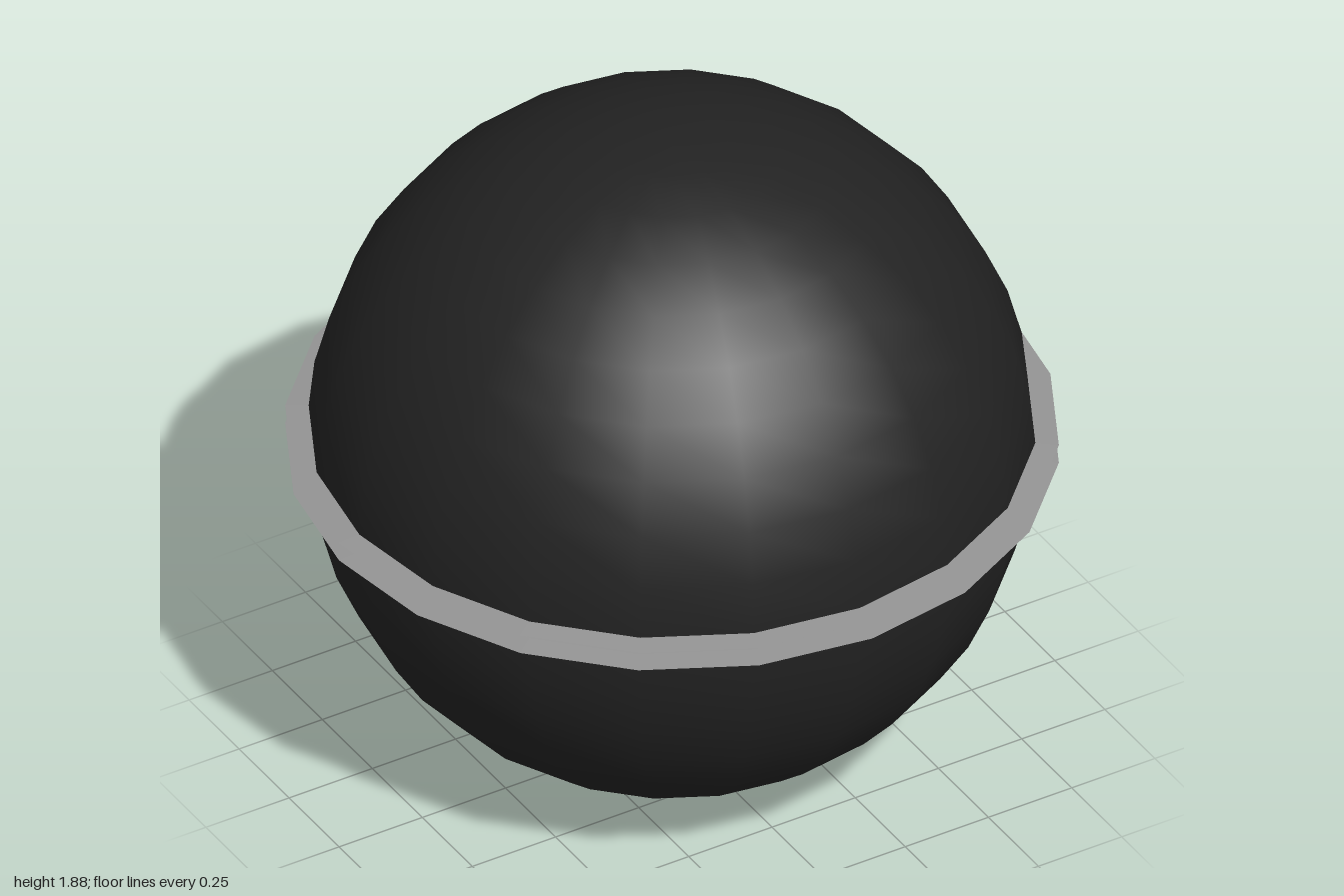
import * as THREE from 'three';

const SIDES = 20, RADIUS = 0.94, CENTRE = 0.942, HALF_GAP = 0.028;

export function createModel() {
  const model = new THREE.Group();
  const shellBlack = new THREE.MeshStandardMaterial({ color: 0x222222 });
  const rimGrey = new THREE.MeshStandardMaterial({ color: 0x949494 });
  const glowCyan = new THREE.MeshStandardMaterial({ color: 0x08d2d2 });

  const add = (name, geometry, material, y = CENTRE) => {
    const mesh = new THREE.Mesh(geometry, material);
    mesh.name = name;
    mesh.position.y = y;
    model.add(mesh);
  };

  // Two shells, each a sphere cap that stops just short of the equator
  const cap = Math.acos(HALF_GAP / RADIUS);
  const shell = (start) =>
    new THREE.SphereGeometry(RADIUS, SIDES, 10, 0, Math.PI * 2, start, cap);
  add('upperShell', shell(0), shellBlack);
  add('lowerShell', shell(Math.PI - cap), shellBlack);

  // Thin rims, tapering to a sharp outer edge, one on each side of the gap
  const section = [[0.88, -0.005], [0.935, -0.004], [1, 0], [0.935, 0.004], [0.88, 0.005]]
    .map(([r, y]) => new THREE.Vector2(r, y));
  const rim = new THREE.LatheGeometry(section, SIDES).toNonIndexed();
  rim.computeVertexNormals();
  add('upperRim', rim, rimGrey, CENTRE + HALF_GAP);
  add('lowerRim', rim, rimGrey, CENTRE - HALF_GAP);

  // Glowing band set back between the rims
  add('glowBand', new THREE.CylinderGeometry(0.908, 0.908, HALF_GAP * 2, SIDES), glowCyan);

  return model;
}
